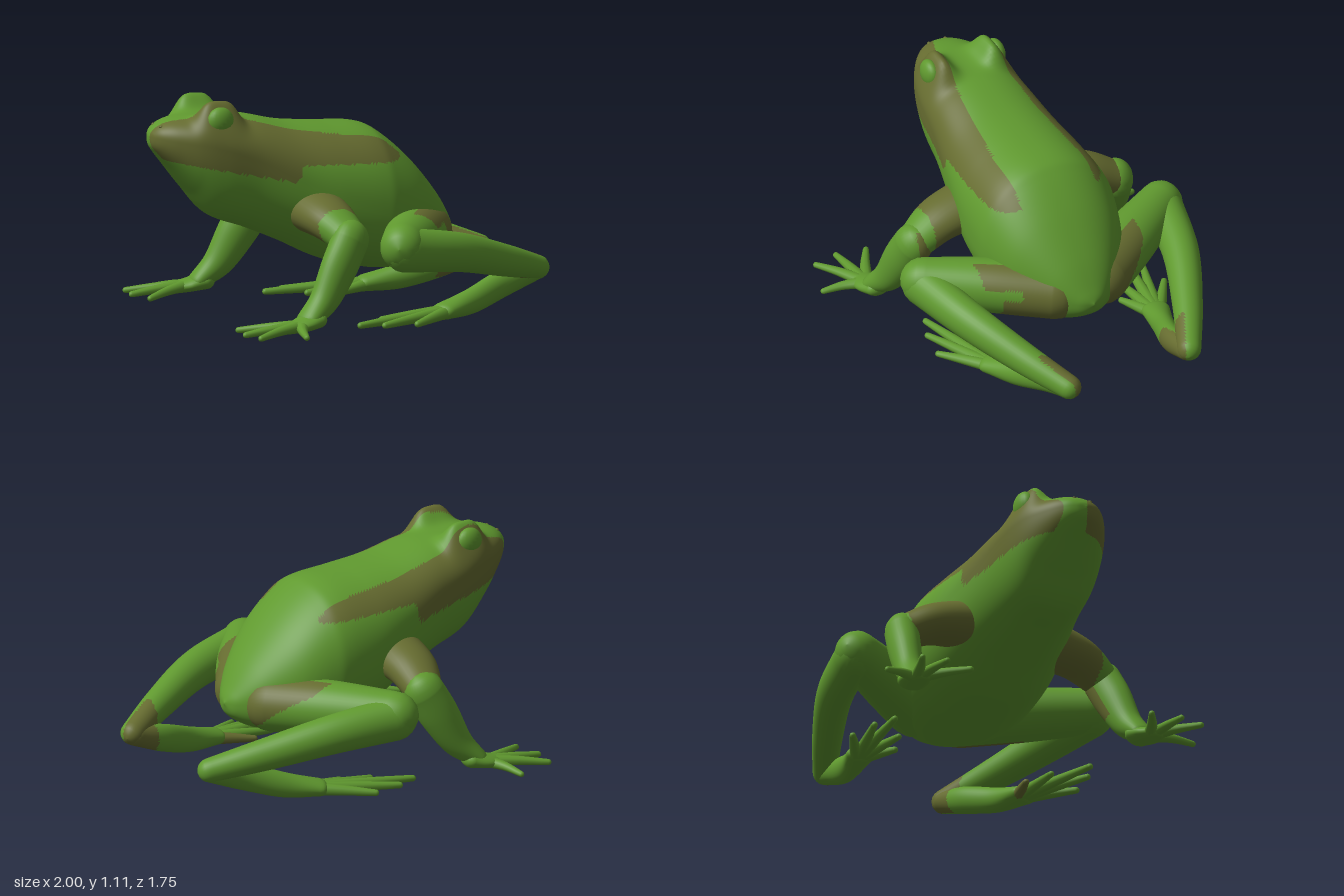
import * as THREE from 'three';

const green = new THREE.MeshStandardMaterial({ color: 0x60992f });
green.name = 'leaf green';
const brown = new THREE.MeshStandardMaterial({ color: 0x666c30 });
brown.name = 'olive brown';

const UP = new THREE.Vector3(0, 1, 0);

// Smooth interpolation through rows of numbers
function sampler(rows) {
  const cubic = new THREE.CubicInterpolant(rows.map((_, i) => i), rows.flat(), rows[0].length);
  return t => Array.from(cubic.evaluate(t));
}

// Skin over rings of { c, side, up, w, top, bottom }; lower powers give squarer sections
function loft(rings, sides, topPower = 1, bottomPower = 1) {
  const pos = [], index = [];
  const bend = (v, power) => Math.sign(v) * Math.abs(v) ** power;
  for (const r of rings) {
    for (let j = 0; j < sides; j++) {
      const a = j / sides * Math.PI * 2, power = Math.sin(a) > 0 ? topPower : bottomPower;
      const s = bend(Math.sin(a), power);
      const p = r.c.clone()
        .addScaledVector(r.side, r.w * bend(Math.cos(a), power))
        .addScaledVector(r.up, s * (s > 0 ? r.top : r.bottom));
      pos.push(p.x, p.y, p.z);
    }
  }
  for (let i = 0; i < rings.length - 1; i++) {
    for (let j = 0; j < sides; j++) {
      const k = (j + 1) % sides, a = i * sides + j, b = i * sides + k;
      index.push(a, b, a + sides, b, b + sides, a + sides);
    }
  }
  const geo = new THREE.BufferGeometry();
  geo.setAttribute('position', new THREE.Float32BufferAttribute(pos, 3));
  geo.setIndex(index);
  geo.computeVertexNormals();
  return geo;
}

// Mesh whose faces turn brown where the rule holds for their centre
function painted(name, geo, rule) {
  if (!rule) {
    const plain = new THREE.Mesh(geo, green);
    plain.name = name;
    return plain;
  }
  const p = geo.attributes.position, idx = geo.index.array, lists = [[], []];
  for (let i = 0; i < idx.length; i += 3) {
    const t = [idx[i], idx[i + 1], idx[i + 2]];
    const mid = f => (f(t[0]) + f(t[1]) + f(t[2])) / 3;
    const hit = rule(mid(v => p.getX(v)), mid(v => p.getY(v)), mid(v => p.getZ(v)));
    lists[hit ? 1 : 0].push(...t);
  }
  geo.setIndex(lists.flat());
  geo.addGroup(0, lists[0].length, 0);
  geo.addGroup(lists[0].length, lists[1].length, 1);
  const mesh = new THREE.Mesh(geo, [green, brown]);
  mesh.name = name;
  return mesh;
}

// Round-ended limb; rows are x, y, z, half width, half height
function limb(name, s, rows, rule, sides = 32, steps = 14) {
  const at = sampler(rows.map(([x, y, z, w, h]) => [x, y, z * s, w, h ?? w]));
  const last = rows.length - 1, rings = [];
  const point = t => new THREE.Vector3(...at(t).slice(0, 3));
  const add = (t, scale, push) => {
    const [, , , w, h] = at(t);
    const tan = point(Math.min(last, t + 0.05)).sub(point(Math.max(0, t - 0.05))).normalize();
    const side = UP.clone().cross(tan).normalize();
    const up = tan.clone().cross(side);
    const c = point(t).addScaledVector(tan, push * h);
    rings.push({ c, side, up, w: w * scale, top: h * scale, bottom: h * scale });
  };
  for (let k = 0; k < 5; k++) add(0, Math.sin(k * Math.PI / 10), -Math.cos(k * Math.PI / 10));
  for (let i = 0; i <= last * steps; i++) add(i / steps, 1, 0);
  for (let k = 4; k >= 0; k--) add(last, Math.sin(k * Math.PI / 10), Math.cos(k * Math.PI / 10));
  return painted(name, loft(rings, sides), rule);
}

function makeBody() {
  // x, top, bottom, half width, height of widest line
  const at = sampler([
    [-1.0, 0.95, 0.94, 0.0, 0.945], [-0.99, 0.975, 0.90, 0.05, 0.945],
    [-0.96, 1.005, 0.86, 0.10, 0.94], [-0.9, 1.03, 0.79, 0.155, 0.93],
    [-0.8, 1.045, 0.67, 0.215, 0.915], [-0.68, 1.045, 0.54, 0.25, 0.89],
    [-0.5, 1.03, 0.47, 0.275, 0.82], [-0.3, 0.985, 0.385, 0.315, 0.72],
    [-0.1, 0.965, 0.29, 0.355, 0.63], [0.1, 0.95, 0.24, 0.37, 0.57],
    [0.2, 0.905, 0.228, 0.36, 0.53], [0.35, 0.775, 0.23, 0.305, 0.48],
    [0.5, 0.60, 0.27, 0.19, 0.43], [0.59, 0.46, 0.33, 0.08, 0.40],
    [0.62, 0.40, 0.395, 0.0, 0.397],
  ]);
  const rings = [];
  for (let i = 0; i <= 14 * 12; i++) {
    const [x, top, bottom, w, mid] = at(i / 12);
    rings.push({
      c: new THREE.Vector3(x, mid, 0), side: new THREE.Vector3(0, 0, -1), up: UP,
      w: Math.max(w, 0), top: Math.max(top - mid, 0), bottom: Math.max(mid - bottom, 0),
    });
  }
  const geo = loft(rings, 120, 0.9, 0.8);
  // Raise the two brows out of the head
  const p = geo.attributes.position;
  for (let i = 0; i < p.count; i++) {
    const u = (p.getX(i) + 0.69) / 0.11, v = (Math.abs(p.getZ(i)) - 0.145) / 0.062;
    const fade = THREE.MathUtils.smoothstep(p.getY(i), 0.88, 0.97);
    p.setY(i, p.getY(i) + 0.1 * fade * Math.exp(-(u ** 4) - v * v));
  }
  geo.computeVertexNormals();
  // Dark flank band running from the snout to the hips
  const stripe = (x, y, z) => {
    const left = z > 0;
    if (x > (left ? 0.36 : 0.27)) return false;
    const inner = left ? Math.min(0.13 + 0.13 * (x + 0.5), 0.2) : Math.min(0.18 + 0.08 * (x + 0.5), 0.23);
    const snout = Math.max(0, -0.8 - x) * (left ? 0.3 : 0.25);
    const low = x < -0.33 ? 0.72 - 0.19 * (x + 0.33)
      : Math.min(left ? 0.8 : 0.82, 0.72 + (x + 0.33) * 4) - 0.03 * Math.max(0, x + 0.3) + Math.max(0, x - 0.2) * 0.4;
    return y > low && Math.abs(z) > inner - snout;
  };
  return painted('body', geo, stripe);
}

function ball(x, y, z, rx, ry, rz, sides) {
  return new THREE.SphereGeometry(1, sides, sides * 0.75).scale(rx, ry, rz).translate(x, y, z);
}

function makeEye(s) {
  const g = new THREE.Group();
  g.name = s > 0 ? 'leftEye' : 'rightEye';
  g.add(painted('eyeball', ball(-0.7, 1.03, 0.183 * s, 0.07, 0.07, 0.042, 20)));
  const nostril = new THREE.Mesh(ball(-0.955, 1.0, 0.045 * s, 0.012, 0.008, 0.01, 8), brown);
  nostril.name = 'nostril';
  g.add(nostril);
  return g;
}

function makeFrontLeg(s) {
  const g = new THREE.Group();
  g.name = s > 0 ? 'leftFrontLeg' : 'rightFrontLeg';
  const cuff = s > 0 ? 0.49 : 0.57;
  g.add(limb('upperArm', s, [[-0.22, 0.575, 0.2, 0.15, 0.12], [-0.21, 0.54, 0.4, 0.13, 0.1],
    [-0.185, 0.48, 0.54, 0.1, 0.085]], (x, y, z) => Math.abs(z) < cuff));
  // The left forearm is brown on its inner rear face
  g.add(limb('forearm', s, [[-0.18, 0.465, 0.565, 0.085, 0.1], [-0.25, 0.34, 0.59, 0.08, 0.098],
    [-0.34, 0.19, 0.615, 0.07, 0.075], [-0.44, 0.1, 0.64, 0.07, 0.045]],
  (x, y, z) => s > 0 && z < 0.58 && y > 0.23 && x > -0.18 - (0.48 - y) * 0.55));
  g.add(limb('palm', s, [[-0.4, 0.1, 0.635, 0.075, 0.045], [-0.48, 0.08, 0.655, 0.075, 0.035],
    [-0.55, 0.068, 0.66, 0.05, 0.028]]));
  for (const [x, z] of [[-0.755, 0.51], [-0.785, 0.66], [-0.76, 0.785], [-0.55, 0.86]]) {
    g.add(limb('finger', s, [[-0.48, 0.078, 0.66, 0.036, 0.03],
      [(x - 0.5) / 2, 0.068, (z + 0.66) / 2, 0.025, 0.022], [x, 0.052, z, 0.015]], null, 10, 4));
  }
  return g;
}

function makeHindLeg(s) {
  const g = new THREE.Group();
  g.name = s > 0 ? 'leftHindLeg' : 'rightHindLeg';
  // Brown patch on the back of the thigh, notched on the left, slanting on the right
  const patch = (x, y, z) => {
    const out = Math.abs(z);
    if (x < 0.45 - 0.68 * (out - 0.12)) return false;
    if (s < 0) return out < 0.4 && y > 0.33 + (out - 0.18) * 0.8;
    return out < (y > 0.47 ? 0.47 : y > 0.42 ? 0.32 : 0.4);
  };
  g.add(limb('thigh', s, [[0.42, 0.4, 0.12, 0.15, 0.14], [0.25, 0.415, 0.38, 0.14, 0.135],
    [0.065, 0.425, 0.66, 0.11, 0.115]], patch, 48, 24));
  // Brown ankle, mostly on the inner side
  const ankle = s > 0 ? 0.365 : 0.32;
  g.add(limb('shin', s, [[0.075, 0.41, 0.67, 0.1, 0.11], [0.4, 0.365, 0.59, 0.09, 0.097],
    [0.7, 0.285, 0.46, 0.075, 0.08], [0.94, 0.215, 0.335, 0.06]],
  (x, y, z) => x > 0.79 && Math.abs(z) < ankle + (0.93 - x) * 0.5));
  g.add(limb('foot', s, [[0.93, 0.205, 0.33, 0.055], [0.75, 0.15, 0.345, 0.055, 0.068],
    [0.55, 0.085, 0.41, 0.055, 0.062], [0.38, 0.055, 0.46, 0.07, 0.042]],
  (x, y, z) => x > (s > 0 ? 0.82 : 0.7) && Math.abs(z) < 0.325));
  // The innermost left toe is brown
  for (const [x, z] of [[0.2, 0.37], [0.06, 0.43], [-0.11, 0.55], [0.0, 0.6], [0.16, 0.63]]) {
    g.add(limb('toe', s, [[0.43, 0.055, 0.45, 0.036, 0.034],
      [(x + 0.43) / 2, 0.045, (z + 0.45) / 2, 0.027, 0.026], [x, 0.032, z, 0.016]],
    () => s > 0 && z < 0.4, 10, 4));
  }
  g.position.z = -0.015;
  return g;
}

export function createModel() {
  const frog = new THREE.Group();
  frog.name = 'frog';
  frog.add(makeBody());
  for (const s of [1, -1]) frog.add(makeEye(s), makeFrontLeg(s), makeHindLeg(s));
  return frog;
}
